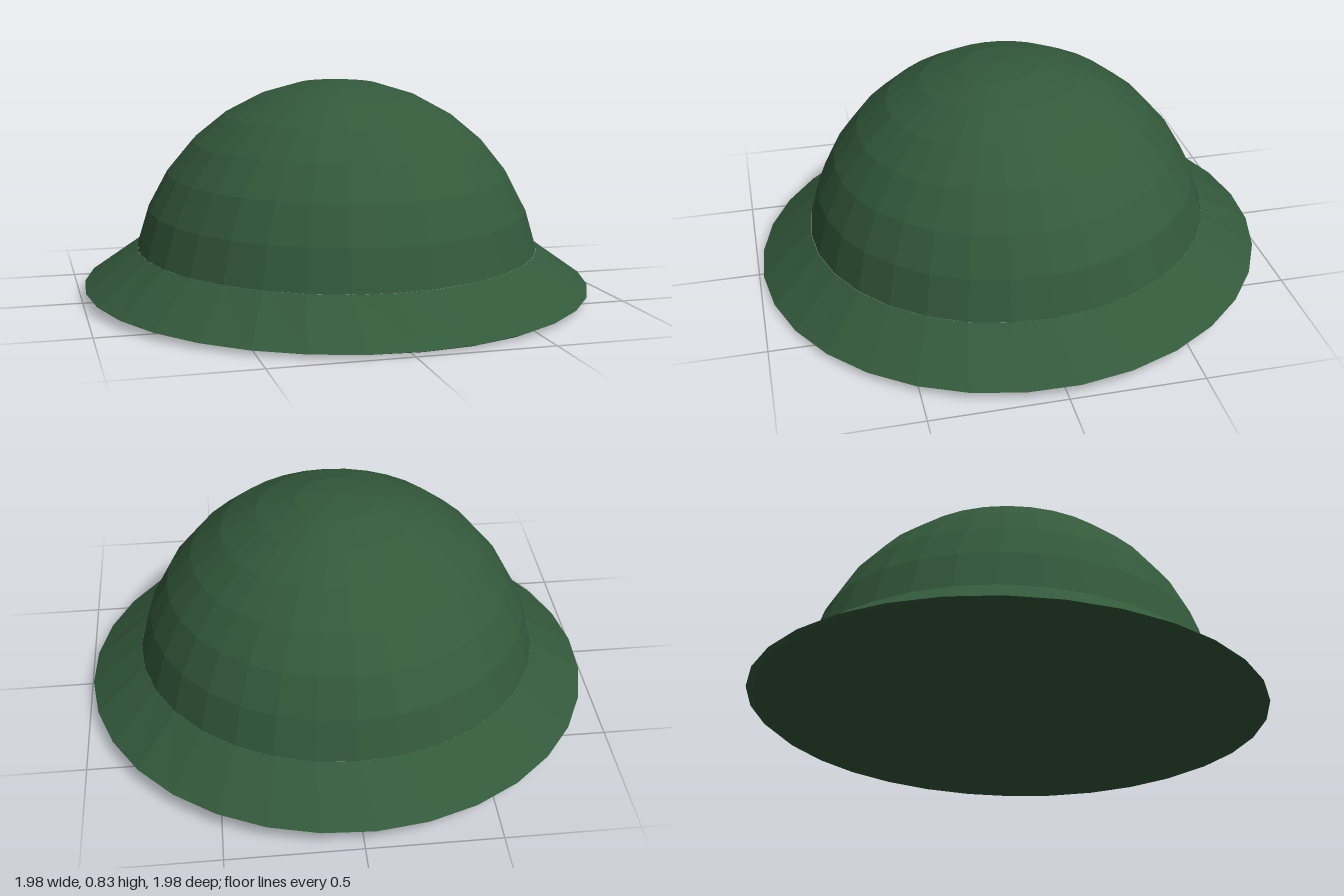
import * as THREE from 'three';

const SEGMENTS = 32;
const TILT = 0.035; // the whole hat leans slightly forward

const faceted = (geometry) => {
  const g = geometry.index ? geometry.toNonIndexed() : geometry;
  g.computeVertexNormals();
  return g;
};

// One ring of points round the y axis, with height given by a rule
function ring(radius, height, turn, zShift) {
  return Array.from({ length: SEGMENTS }, (_, i) => {
    const a = (i / SEGMENTS) * Math.PI * 2 + turn;
    const r = radius(Math.cos(a), Math.sin(a));
    const x = r * Math.sin(a), z = r * Math.cos(a) + zShift;
    return [x, height(x, z), z];
  });
}

// Join rings from top to bottom and close the last one
function loft(rings) {
  const out = [];
  for (let k = 0; k < rings.length - 1; k++) {
    const up = rings[k], low = rings[k + 1];
    for (let i = 0; i < SEGMENTS; i++) {
      const j = (i + 1) % SEGMENTS;
      out.push(...up[i], ...low[i], ...low[j], ...up[i], ...low[j], ...up[j]);
    }
  }
  const last = rings[rings.length - 1];
  for (let i = 1; i < SEGMENTS - 1; i++) out.push(...last[0], ...last[i + 1], ...last[i]);
  const g = new THREE.BufferGeometry();
  g.setAttribute('position', new THREE.Float32BufferAttribute(out, 3));
  return faceted(g);
}

export function createModel() {
  const group = new THREE.Group();
  group.name = 'helmet';
  const green = new THREE.MeshStandardMaterial({ color: 0x33593b });
  green.name = 'dark green';

  // Domed crown, cut just above its equator
  const domeGeometry = new THREE.SphereGeometry(0.8, SEGMENTS, 7, 0, Math.PI * 2, 0, (7 * Math.PI) / 16);
  const dome = new THREE.Mesh(faceted(domeGeometry), green);
  dome.name = 'dome';
  dome.position.set(0, 0.035, -0.006);
  dome.rotation.x = TILT;
  group.add(dome);

  // Sloping brim, with a flat underside that is a little thicker on the left
  const rimHeight = (x, z) => 0.046 - TILT * z;
  const baseHeight = (x, z) => 0.033 - 0.03 * z - 0.014 * x;
  const brim = new THREE.Mesh(loft([
    ring(() => 0.785, (x, z) => 0.191 - TILT * z, 0, 0),
    ring(() => 0.99, rimHeight, 0.04, -0.006),
    ring((c, s) => 0.968 - 0.018 * s, baseHeight, 0.04, -0.006),
  ]), green);
  brim.name = 'brim';
  group.add(brim);

  return group;
}
